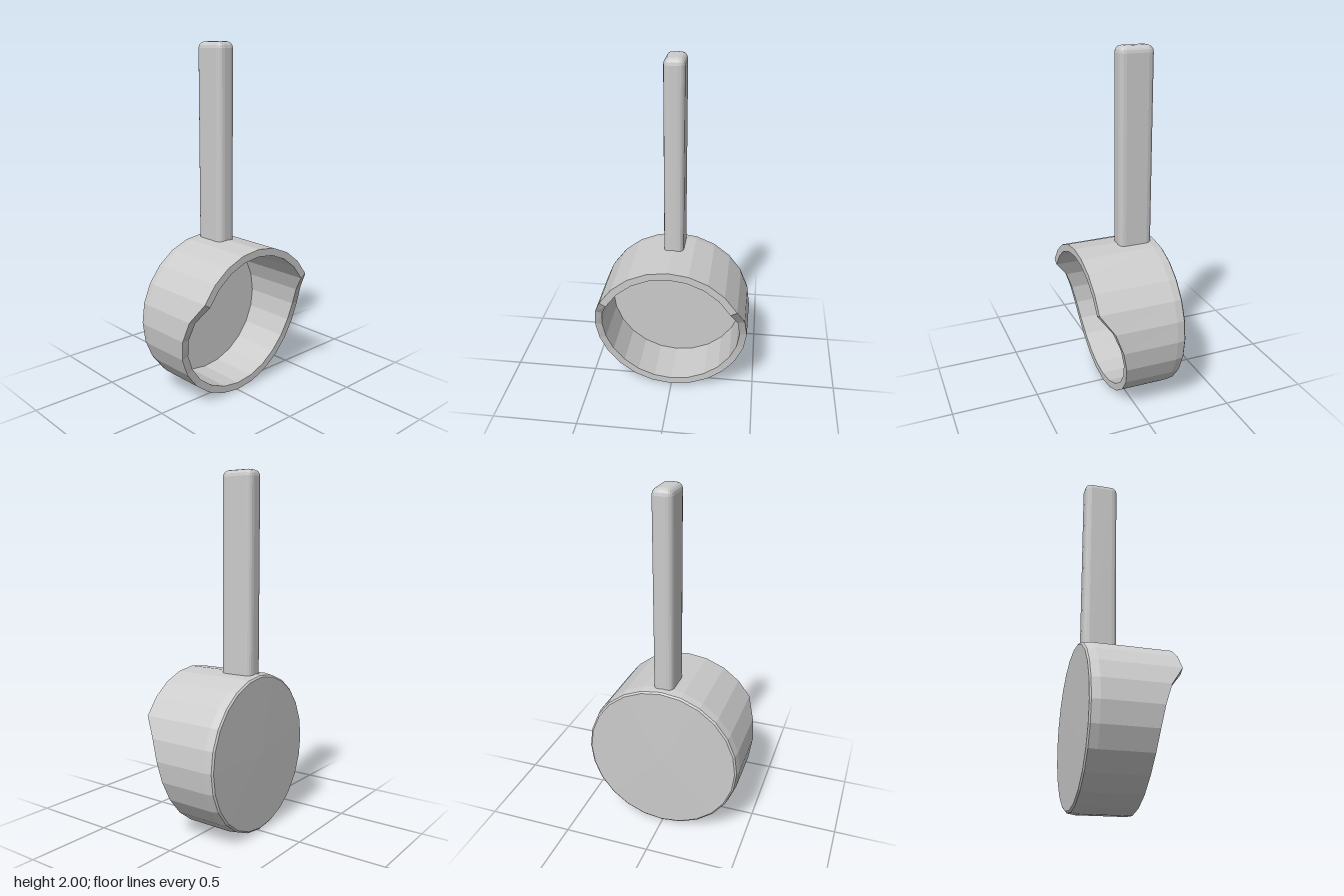
import * as THREE from 'three';
import { RoundedBoxGeometry } from 'three/addons/geometries/RoundedBoxGeometry.js';

const SEGMENTS = 24;
const CENTRE_Y = 0.452;
// How far the rim reaches along x, stepping from the top of the cup to its bottom
const RIM = [0.246, 0.246, 0.246, 0.246, 0.246, 0.172, 0.132, 0.108, 0.094, 0.086, 0.083, 0.082, 0.082];
const RIM_MARK = 1; // profile height that stands for "at the rim"

// Closed cup lying on its side: a turned shell whose rim is cut to a curve
function cupGeometry() {
  const profile = [
    [0, -0.247], [0.435, -0.243], [0.445, -0.235], [0.452, -0.19], // back and rounded edge
    [0.449, RIM_MARK], [0.407, RIM_MARK],                          // rim
    [0.407, -0.19], [0.407, -0.216], [0, -0.216],                  // inside
  ].map(([r, h]) => new THREE.Vector2(r, h));

  const geometry = new THREE.LatheGeometry(profile, SEGMENTS);
  geometry.rotateZ(-Math.PI / 2);

  const pos = geometry.attributes.position;
  for (let i = 0; i < pos.count; i++) {
    if (pos.getX(i) < 0.9) continue;
    const fromTop = Math.atan2(Math.abs(pos.getZ(i)), pos.getY(i));
    pos.setX(i, RIM[Math.round(fromTop / (2 * Math.PI / SEGMENTS))]);
  }
  geometry.translate(0, CENTRE_Y, 0);
  geometry.computeVertexNormals();
  return geometry;
}

export function createModel() {
  const group = new THREE.Group();
  const material = new THREE.MeshStandardMaterial({ color: 0xcccccc, flatShading: true });

  const cup = new THREE.Mesh(cupGeometry(), material);
  cup.name = 'cup';
  group.add(cup);

  // Upright handle, its lower end set through the cup wall
  const bottom = 0.845;
  const handle = new THREE.Mesh(new RoundedBoxGeometry(0.198, 2 - bottom, 0.114, 2, 0.036), material);
  handle.name = 'handle';
  handle.position.set(-0.106, (2 + bottom) / 2, -0.002);
  group.add(handle);

  return group;
}
